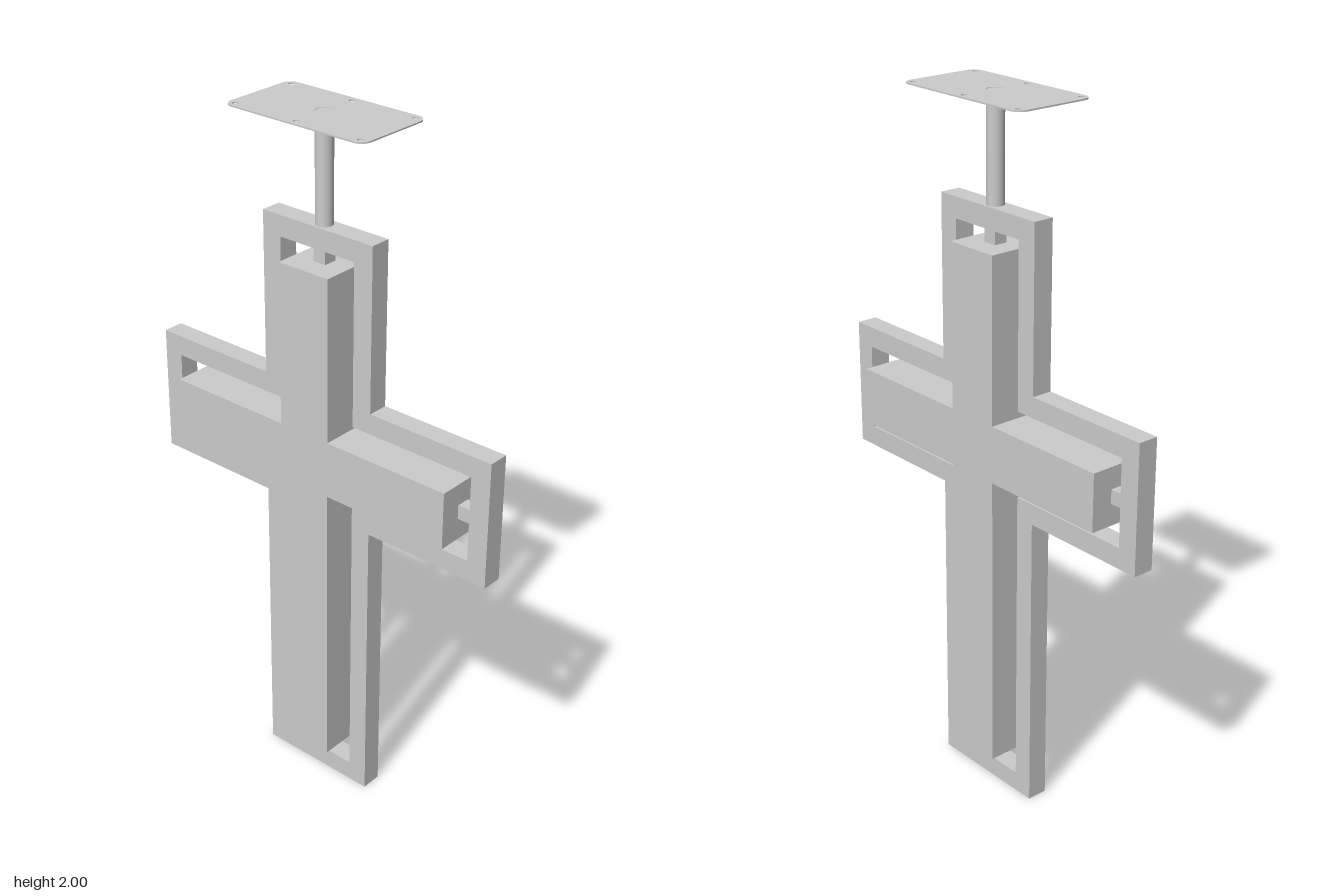
import * as THREE from 'three';

const MID = 1.059; // height of the cross-arm centre line

// Cross outline: half widths of stem and arm, arm reach, bottom and top
function crossPoints(stem, arm, reach, bottom, top) {
  const lo = MID - arm, hi = MID + arm;
  return [
    [-stem, bottom], [stem, bottom], [stem, lo], [reach, lo], [reach, hi], [stem, hi],
    [stem, top], [-stem, top], [-stem, hi], [-reach, hi], [-reach, lo], [-stem, lo],
  ].map(([x, y]) => new THREE.Vector2(x, y));
}

function circleHole(x, y, r, segments) {
  const points = [];
  for (let i = 0; i < segments; i++) {
    const a = -i / segments * Math.PI * 2;
    points.push(new THREE.Vector2(x + r * Math.cos(a), y + r * Math.sin(a)));
  }
  return new THREE.Path(points);
}

export function createModel() {
  const model = new THREE.Group();
  const material = new THREE.MeshStandardMaterial({ color: 0xcccccc });

  const add = (name, geometry, x = 0, y = 0, z = 0) => {
    const mesh = new THREE.Mesh(geometry, material);
    mesh.name = name;
    mesh.position.set(x, y, z);
    model.add(mesh);
    return mesh;
  };
  const extrude = (shape, depth) =>
    new THREE.ExtrudeGeometry(shape, { depth, bevelEnabled: false, curveSegments: 8 });

  // Outer open frame
  const frame = new THREE.Shape(crossPoints(0.183, 0.183, 0.57, 0, 1.707));
  frame.holes.push(new THREE.Path(crossPoints(0.124, 0.124, 0.511, 0.059, 1.648)));
  add('outerFrame', extrude(frame, 0.06), 0, 0, -0.03);

  // Thick inner cross
  const inner = new THREE.Shape(crossPoints(0.082, 0.082, 0.468, 0.106, 1.607));
  add('innerCross', extrude(inner, 0.164), 0, 0, -0.082);

  // Square pins joining the inner cross to the frame
  for (const [name, y, length] of [['bottomPin', 0.0825, 0.047], ['topPin', 1.6275, 0.041]]) {
    add(name, new THREE.BoxGeometry(0.04, length, 0.04), 0, y, 0);
  }
  for (const side of [-1, 1]) {
    add(side > 0 ? 'leftPin' : 'rightPin',
      new THREE.BoxGeometry(0.043, 0.04, 0.04), side * 0.4895, MID, 0);
  }

  // Hanging rod
  add('rod', new THREE.CylinderGeometry(0.024, 0.024, 0.292, 32), 0, 1.853, 0);

  // Mounting plate with rounded corners, screw holes and a seat for the rod
  const w = 0.224, d = 0.121, r = 0.03;
  const plate = new THREE.Shape();
  plate.moveTo(-w + r, -d);
  plate.absarc(w - r, -d + r, r, -Math.PI / 2, 0);
  plate.absarc(w - r, d - r, r, 0, Math.PI / 2);
  plate.absarc(-w + r, d - r, r, Math.PI / 2, Math.PI);
  plate.absarc(-w + r, -d + r, r, Math.PI, Math.PI * 1.5);
  for (const x of [-0.201, 0, 0.201]) {
    for (const z of [-0.102, 0.102]) plate.holes.push(circleHole(x, z, 0.008, 16));
  }
  plate.holes.push(circleHole(0, 0, 0.0245, 32));
  add('mountingPlate', extrude(plate, 0.004), 0, 1.996, 0).rotation.x = -Math.PI / 2;

  return model;
}
